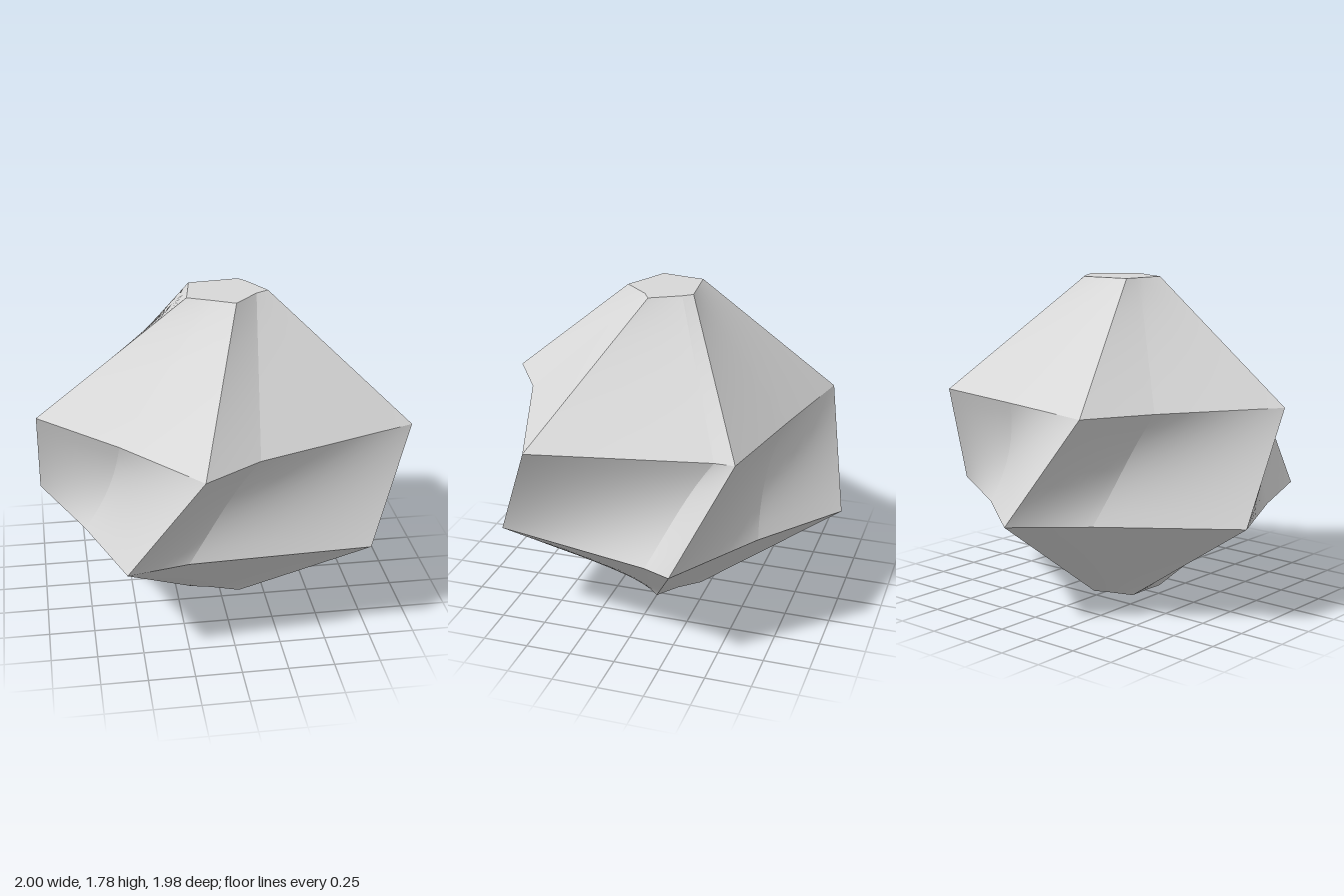
import * as THREE from 'three';
import { mergeGeometries } from 'three/addons/utils/BufferGeometryUtils.js';

// Rings from base to top as [x, z]: ridge corners alternate with shallow valley points
const rings = [
  { y: 0, p: [[0.06, -0.2], [0.16, -0.09], [0.28, 0], [0.25, 0.03], [0.11, 0.2],
    [-0.05, 0.145], [-0.16, 0.12], [-0.155, 0], [-0.16, -0.12], [-0.02, -0.165]] },
  { y: 0.55, p: [[-0.02, -0.99], [0.45, -0.63], [0.99, -0.3], [0.93, -0.15], [0.74, 0.73],
    [-0.25, 0.77], [-0.58, 0.84], [-0.77, 0.31], [-1, -0.22], [-0.36, -0.69]] },
  { y: 1.14, p: [[-0.41, -0.84], [0.2, -0.71], [0.81, -0.59], [0.81, -0.48], [1, 0.47],
    [0.12, 0.79], [-0.19, 0.99], [-0.58, 0.53], [-1, 0.11], [-0.6, -0.48]] },
  { y: 1.785, p: [[-0.13, -0.14], [0.01, -0.155], [0.15, -0.17], [0.19, -0.12], [0.28, 0.04],
    [0.21, 0.08], [0.08, 0.22], [-0.05, 0.155], [-0.17, 0.1], [-0.144, -0.05]] },
];
const N = 10;
const STEPS = 8;

const corner = (ring, i) => new THREE.Vector3(ring.p[i % N][0], ring.y, ring.p[i % N][1]);

// One smooth twisted panel; it sinks towards the axis along its valley side
function panel(low, high, i, sink) {
  const geometry = new THREE.PlaneGeometry(1, 1, STEPS, STEPS);
  const { position, uv } = geometry.attributes;
  const lowEdge = [corner(low, i + 1), corner(low, i)];
  const highEdge = [corner(high, i + 1), corner(high, i)];
  for (let k = 0; k < position.count; k++) {
    const u = uv.getX(k), v = uv.getY(k);
    const point = lowEdge[0].clone().lerp(lowEdge[1], u);
    point.lerp(highEdge[0].clone().lerp(highEdge[1], u), v);
    const depth = sink * 4 * v * (1 - v) * (i % 2 ? u : 1 - u);
    const inward = new THREE.Vector3(-point.x, 0, -point.z).setLength(depth);
    point.add(inward);
    position.setXYZ(k, point.x, point.y, point.z);
  }
  geometry.computeVertexNormals();
  return geometry;
}

// Belt of panels between two rings
function belt(low, high, sink) {
  return mergeGeometries(Array.from({ length: N }, (_, i) => panel(low, high, i, sink)));
}

// Flat end facet
function cap(ring, up) {
  const points = [];
  const mid = new THREE.Vector3(0.03, ring.y, 0);
  for (let i = 0; i < N; i++) {
    const a = corner(ring, i), b = corner(ring, i + 1);
    points.push(mid, ...(up ? [b, a] : [a, b]));
  }
  const geometry = new THREE.BufferGeometry().setFromPoints(points);
  geometry.computeVertexNormals();
  return geometry;
}

export function createModel() {
  const group = new THREE.Group();
  group.name = 'rock';
  const stone = new THREE.MeshStandardMaterial({ color: 0xd8d8d8 });
  stone.name = 'pale grey stone';

  const parts = {
    bottomFacet: cap(rings[0], false),
    lowerFacets: belt(rings[0], rings[1], 0),
    middleFacets: belt(rings[1], rings[2], 0.05),
    upperFacets: belt(rings[2], rings[3], 0),
    topFacet: cap(rings[3], true),
  };
  for (const [name, geometry] of Object.entries(parts)) {
    const mesh = new THREE.Mesh(geometry, stone);
    mesh.name = name;
    group.add(mesh);
  }
  return group;
}
